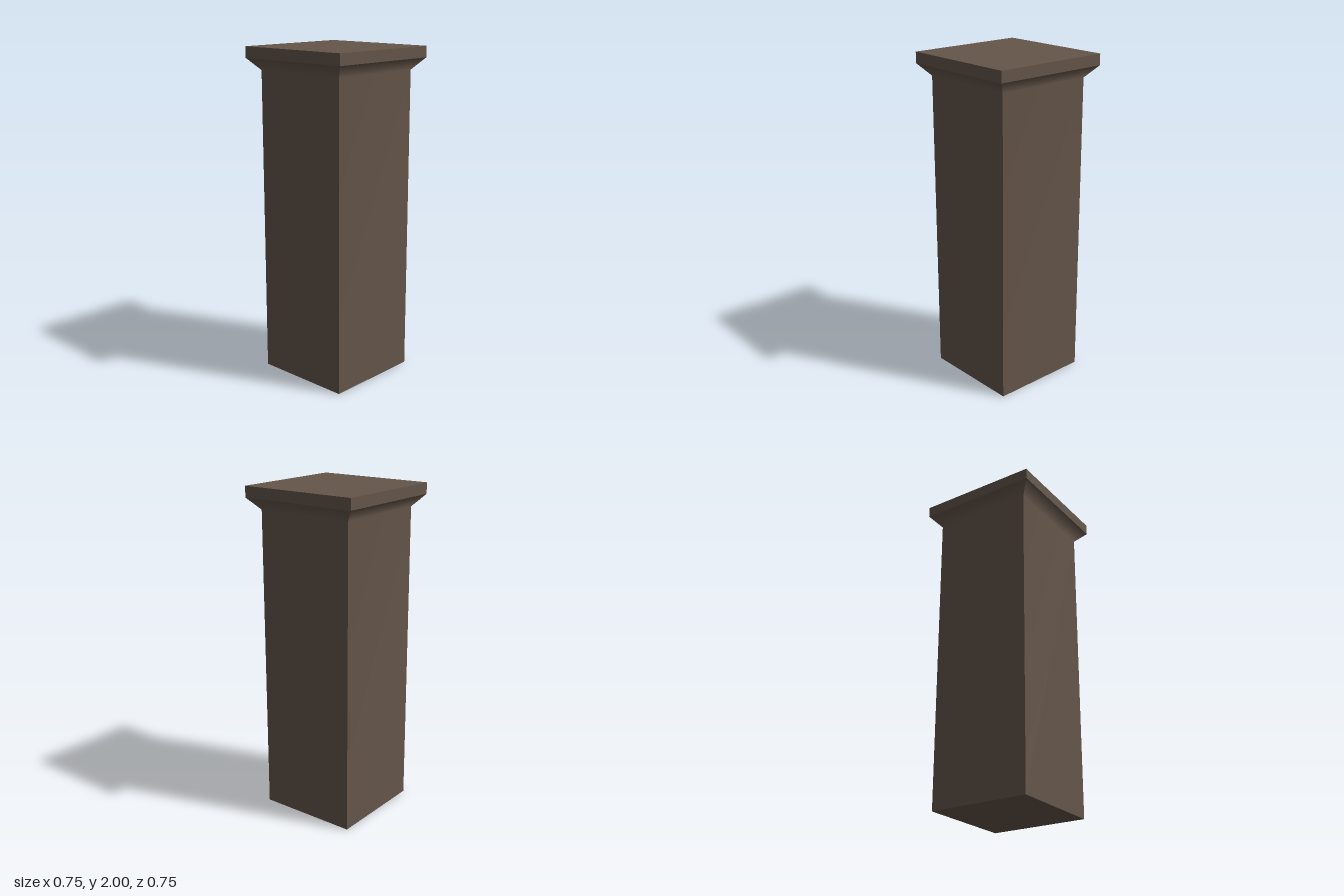
import * as THREE from 'three';

export function createModel() {
  const group = new THREE.Group();
  const brown = new THREE.MeshStandardMaterial({ color: 0x65564a });
  brown.name = 'brown stone';

  const shaftWidth = 0.618, capWidth = 0.746;
  const neckY = 1.862, capY = 1.933, topY = 2;

  // Square shaft whose top flares outward to meet the cap
  const shaftGeometry = new THREE.BoxGeometry(shaftWidth, 2, shaftWidth, 1, 2, 1);
  const p = shaftGeometry.attributes.position;
  const heights = [0, neckY, capY];
  for (let i = 0; i < p.count; i++) {
    const row = Math.round(p.getY(i)) + 1;
    const spread = row === 2 ? capWidth / shaftWidth : 1;
    p.setXYZ(i, p.getX(i) * spread, heights[row], p.getZ(i) * spread);
  }
  // Normals blend within each side; the corners stay sharp
  shaftGeometry.computeVertexNormals();
  const shaft = new THREE.Mesh(shaftGeometry, brown);
  shaft.name = 'flaredShaft';

  // Flat square cap slab
  const cap = new THREE.Mesh(new THREE.BoxGeometry(capWidth, topY - capY, capWidth), brown);
  cap.name = 'cap';
  cap.position.y = (topY + capY) / 2;

  group.add(shaft, cap);
  return group;
}
